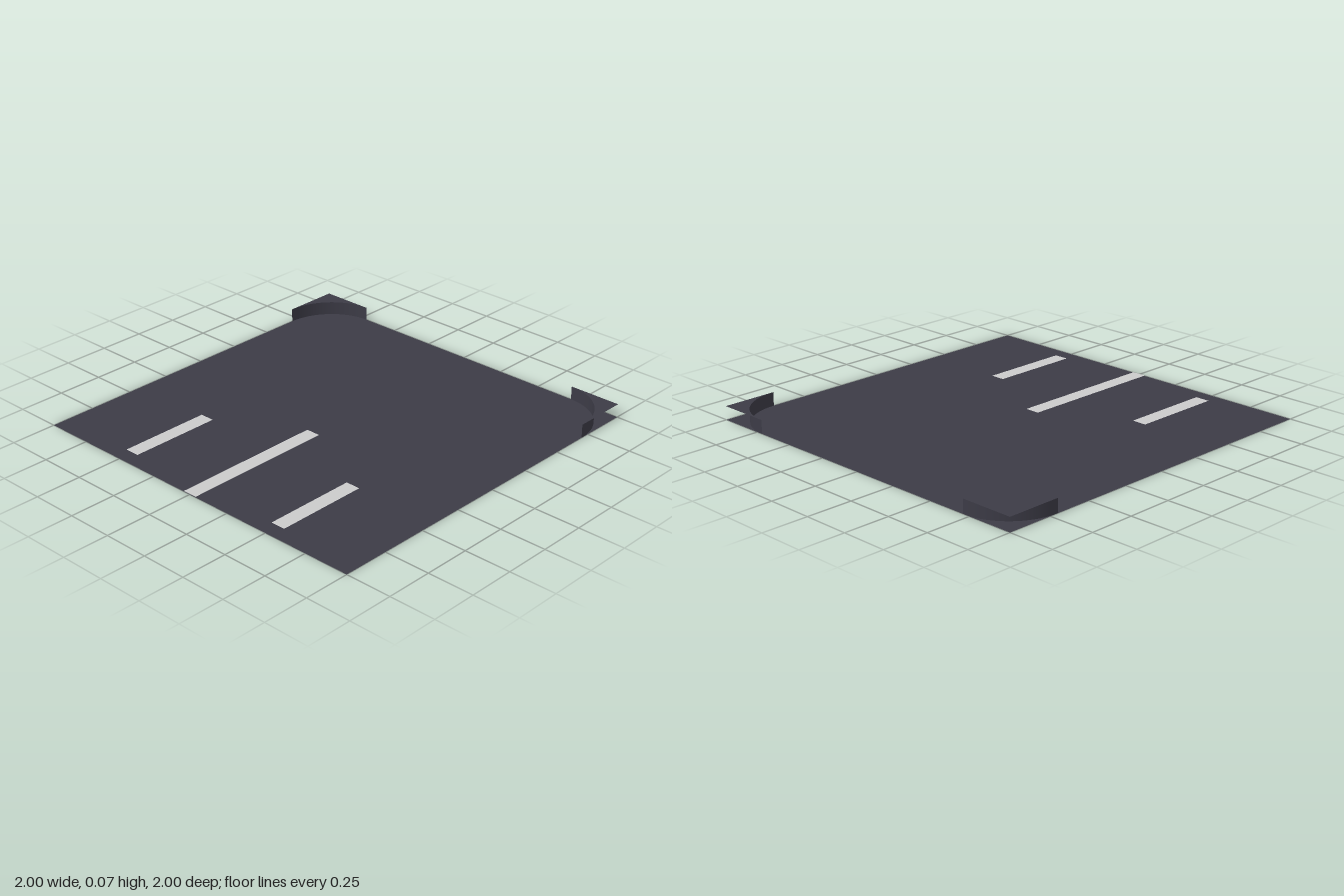
import * as THREE from 'three';

const CURB_H = 0.073, RX = 0.3, RZ = 0.288; // curb height and corner radii

export function createModel() {
  const model = new THREE.Group();
  model.name = 'roadTile';
  const asphalt = new THREE.MeshStandardMaterial({ color: 0x3c3b46, side: THREE.DoubleSide });
  asphalt.name = 'asphalt';
  const paint = new THREE.MeshStandardMaterial({ color: 0xcbcbcb, side: THREE.DoubleSide });
  paint.name = 'road paint';

  const add = (name, geometry, material, parent = model) => {
    const mesh = new THREE.Mesh(geometry, material);
    mesh.name = name;
    parent.add(mesh);
    return mesh;
  };
  // Horizontal sheet between two x and centred on z
  const sheet = (x0, x1, z, depth, y) =>
    new THREE.PlaneGeometry(x1 - x0, depth).rotateX(-Math.PI / 2).translate((x0 + x1) / 2, y, z);

  // Road surface
  add('roadSurface', sheet(-1, 1, 0, 2, 0), asphalt);

  // Painted lane lines
  add('centreLine', sheet(-1, -0.17, 0, 0.08, 0.003), paint);
  for (const side of [-1, 1])
    add(side > 0 ? 'frontLaneLine' : 'backLaneLine', sheet(-0.92, -0.42, side * 0.5, 0.08, 0.003), paint);

  // Raised corners: a curved curb wall under a flat pavement cap
  for (const side of [-1, 1]) {
    const corner = new THREE.Group();
    corner.name = side > 0 ? 'frontCorner' : 'backCorner';
    model.add(corner);

    const wall = new THREE.CylinderGeometry(1, 1, CURB_H, 24, 1, true, side > 0 ? 0 : Math.PI / 2, Math.PI / 2);
    wall.scale(RX, 1, RZ).translate(1 - RX, CURB_H / 2, side * (1 - RZ));
    add('curbWall', wall, asphalt, corner);

    const outline = new THREE.Shape();
    outline.moveTo(1, -side);
    for (let i = 0; i <= 24; i++) {
      const a = (i / 24) * Math.PI / 2;
      outline.lineTo(1 - RX + RX * Math.sin(a), -side * (1 - RZ + RZ * Math.cos(a)));
    }
    const cap = new THREE.ShapeGeometry(outline).rotateX(-Math.PI / 2).translate(0, CURB_H, 0);
    add('pavementCap', cap, asphalt, corner);
  }
  return model;
}
